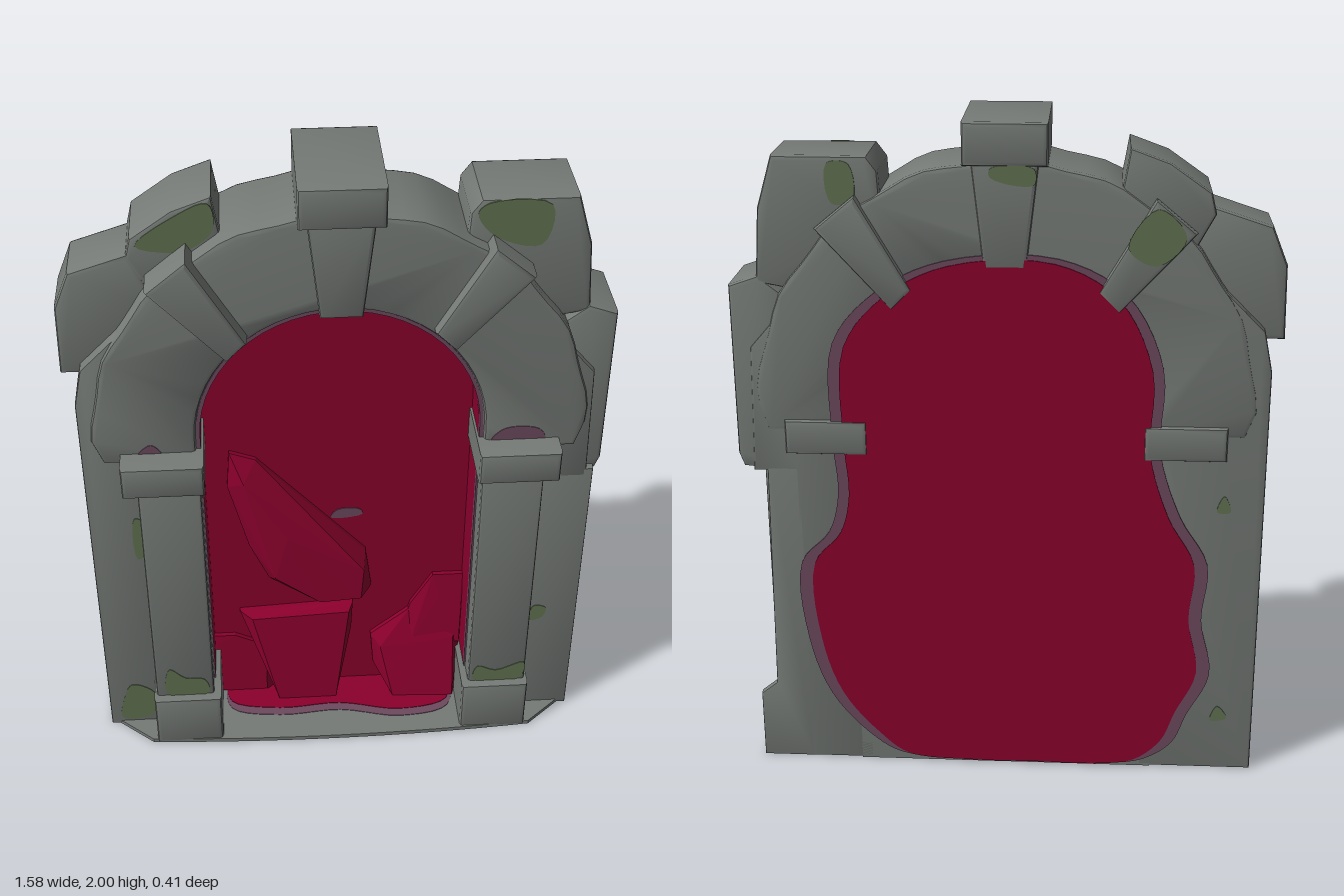
import * as THREE from 'three';
import { toCreasedNormals } from 'three/addons/utils/BufferGeometryUtils.js';
import { ConvexGeometry } from 'three/addons/geometries/ConvexGeometry.js';

const mat = (name, color) => {
  const m = new THREE.MeshStandardMaterial({ color, side: THREE.DoubleSide });
  m.name = name;
  return m;
};

export function createModel() {
  const stoneMat = mat('grey stone', 0x757a76);
  const redMat = mat('crimson', 0x8b002d);
  const mossMat = mat('moss green', 0x627352);
  const mauveMat = mat('faded mauve', 0x6e4a5e);
  const group = new THREE.Group();

  const add = (name, geometry, material) => {
    const mesh = new THREE.Mesh(geometry, material);
    mesh.name = name;
    group.add(mesh);
    return mesh;
  };
  // outline extruded from z0 to z1 with softly worn edges
  const slab = (name, pts, z0, z1, b = 0.012, material = stoneMat) => {
    const shape = new THREE.Shape(pts.map(([x, y]) => new THREE.Vector2(x, y)));
    const geo = new THREE.ExtrudeGeometry(shape, {
      depth: z1 - z0 - 2 * b, bevelEnabled: b > 0, bevelThickness: b, bevelSize: b,
      bevelOffset: -b, bevelSegments: 2,
    });
    geo.translate(0, 0, z0 + b);
    return add(name, toCreasedNormals(geo, 0.6), material);
  };
  const rect = (x0, x1, y0, y1) => [[x0, y0], [x1, y0], [x1, y1], [x0, y1]];
  const mirror = (pts, s) => (s > 0 ? pts : pts.map(([x, y]) => [-x, y]).reverse());
  const arc = (r, a0, a1, n = 28) => Array.from({ length: n + 1 }, (_, i) => {
    const a = a0 + ((a1 - a0) * i) / n;
    return [r * Math.cos(a), 1.18 + r * Math.sin(a)];
  });
  // thin irregular patch, rounded through a closed curve
  const patch = (name, pts, z, material, thick = 0.004) => {
    const curve = new THREE.CatmullRomCurve3(pts.map(([x, y]) => new THREE.Vector3(x, y, 0)), true);
    const outline = curve.getPoints(pts.length * 5).slice(0, -1).map((p) => [p.x, p.y]);
    return slab(name, outline, z, z + thick, 0, material);
  };

  // main wall with the doorway cut out, closed low down at the back
  slab('wall', [[-0.76, 0], [-0.41, 0], ...arc(0.415, Math.PI, 0), [0.41, 0], [0.62, 0],
    [0.62, 0.97], [0.74, 0.97], [0.73, 1.35], [0.6, 1.5], [0.45, 1.68], [-0.45, 1.68],
    [-0.6, 1.55], [-0.73, 1.42], [-0.755, 1.3]], -0.18, 0.09, 0.008);
  slab('backPlate', rect(-0.45, 0.45, 0, 1), -0.18, -0.165, 0);

  // hollow channel on the left flank
  slab('flankFront', rect(0.6, 0.76, 0, 1), 0.06, 0.09, 0.006);
  slab('flankBack', [[0.6, 0], [0.76, 0], [0.76, 0.22], [0.71, 0.26], [0.7, 1], [0.6, 1]], -0.18, -0.15, 0.006);
  slab('flankFloor', rect(0.6, 0.755, 0, 0.012), -0.17, 0.07, 0);

  // arch ring, slightly uneven on its outer edge
  const outer = arc(0.715, 0, Math.PI, 40).map(([x, y], i) => {
    const k = 1 + 0.008 * Math.sin(i * 1.3);
    return [x * k, 1.18 + (y - 1.18) * k];
  });
  slab('archRing', [[0.42, 1.1], [0.69, 1.1], ...outer, [-0.69, 1.1], [-0.42, 1.1],
    ...arc(0.42, Math.PI, 0)], -0.185, 0.105, 0.014);

  // keystone and its cap
  slab('keystone', [[-0.06, 1.59], [0.06, 1.59], [0.095, 1.9], [-0.095, 1.9]], -0.195, 0.135);
  slab('keystoneCap', rect(-0.118, 0.118, 1.88, 2), -0.205, 0.165, 0.014);

  // broken blocks around the arch
  slab('shoulderRight', [[-0.79, 1.385], [-0.6, 1.385], [-0.5, 1.6], [-0.57, 1.765], [-0.74, 1.71],
    [-0.785, 1.6]], -0.14, 0.05, 0.015);
  slab('topBlockRight', [[-0.58, 1.75], [-0.5, 1.6], [-0.3, 1.7], [-0.33, 1.87], [-0.34, 1.93],
    [-0.45, 1.89], [-0.565, 1.81]], -0.175, 0.05, 0.012);
  slab('topBlockLeft', [[0.34, 1.7], [0.5, 1.5], [0.705, 1.54], [0.69, 1.75], [0.645, 1.9],
    [0.38, 1.9], [0.35, 1.86]], -0.175, 0.06, 0.014);
  slab('sideBlockLeft', [[0.62, 0.965], [0.77, 0.98], [0.785, 1.02], [0.785, 1.53], [0.7, 1.56],
    [0.62, 1.5]], -0.175, 0.065, 0.014);

  for (const s of [1, -1]) {
    const side = s > 0 ? 'Left' : 'Right';
    // projecting arch wedge
    slab('archWedge' + side, mirror([[0.26, 1.53], [0.32, 1.47], [0.53, 1.7], [0.415, 1.795]], s),
      -0.2, s > 0 ? 0.14 : 0.155, 0.014);
    // pilaster: base, shaft, capital
    slab('pilasterBase' + side, mirror(rect(0.39, 0.605, 0.005, 0.195), s), -0.08, 0.19, 0.015);
    slab('pilasterShaft' + side, mirror(rect(0.412, 0.597, 0.18, 1.05), s), -0.05, 0.16, 0.01);
    slab('capital' + side, mirror(rect(0.4, 0.64, 1.03, 1.135), s), -0.2, 0.187, 0.014);
  }

  // threshold with a bowed front edge
  const bow = new THREE.QuadraticBezierCurve(new THREE.Vector2(-0.62, -0.18),
    new THREE.Vector2(0, -0.225), new THREE.Vector2(0.62, -0.18));
  const threshold = slab('threshold', [[-0.74, 0.17], [-0.74, -0.08],
    ...bow.getPoints(16).map((p) => [p.x, p.y]), [0.74, -0.08], [0.74, 0.17]], 0, 0.014, 0);
  threshold.geometry.rotateX(-Math.PI / 2);

  // crimson infill panel, creeping forward over the doorway reveal to a faded edge
  slab('panel', [[-0.415, 0.004], [0.415, 0.004], ...arc(0.415, 0, Math.PI)], -0.17, -0.06, 0, redMat);
  const reveal = [[-0.418, 0.014], [-0.407, 0.014], ...arc(0.407, Math.PI, 0), [0.407, 0.014],
    [0.418, 0.014], ...arc(0.418, 0, Math.PI)];
  slab('revealLining', reveal, -0.07, 0.07, 0, redMat);
  slab('revealEdge', reveal, 0.07, 0.09, 0, mauveMat);

  // spread of crimson over the back, with a faded rim
  const spread = [[0.46, 1.36], [0.34, 1.51], [0.16, 1.6], [-0.14, 1.61], [-0.32, 1.51], [-0.42, 1.3],
    [-0.42, 1.05], [-0.48, 0.85], [-0.56, 0.7], [-0.55, 0.52], [-0.58, 0.34], [-0.52, 0.2], [-0.48, 0.1],
    [-0.4, 0.03], [-0.3, 0.012], [-0.1, 0.012], [0.1, 0.012], [0.3, 0.03], [0.39, 0.1], [0.5, 0.24],
    [0.56, 0.43], [0.57, 0.68], [0.49, 0.78], [0.46, 0.9], [0.47, 1.08]];
  patch('backSpread', spread, -0.194, redMat, 0.006);
  patch('backSpreadRim', spread.map(([x, y]) => [x * 1.07, y > 0.05 ? 0.7 + (y - 0.7) * 1.015 : y]),
    -0.19, mauveMat, 0.006);

  // faceted rocks standing out of the panel: [name, outline, ridge points]
  const rocks = [
    ['largeRock', [[-0.33, 1.01], [-0.25, 0.98], [-0.12, 0.8], [0.09, 0.6], [0.11, 0.45], [0.08, 0.4],
      [-0.07, 0.42], [-0.22, 0.5], [-0.28, 0.64], [-0.34, 0.88]],
    [[-0.29, 0.92, 0], [-0.16, 0.72, 0.03], [-0.2, 0.55, 0.02], [0.07, 0.47, 0.04], [-0.06, 0.46, 0.04], [0.08, 0.57, 0.02]]],
    ['lowerRock', [[-0.32, 0.36], [0.05, 0.38], [0.045, 0.27], [0, 0.01], [-0.21, 0.01], [-0.24, 0.2]],
      [[-0.28, 0.35, -0.01], [0.035, 0.365, -0.01], [-0.01, 0.02, 0.03], [-0.2, 0.02, 0.03]]],
    ['cornerRockUpper', [[0.31, 0.48], [0.24, 0.36], [0.2, 0.2], [0.41, 0.2], [0.41, 0.48]],
      [[0.33, 0.4, -0.03], [0.24, 0.22, -0.01], [0.4, 0.4, -0.03], [0.4, 0.22, 0]]],
    ['cornerRockLower', [[0.24, 0.34], [0.11, 0.23], [0.12, 0.1], [0.16, 0.01], [0.41, 0.01], [0.41, 0.3]],
      [[0.14, 0.2, -0.01], [0.18, 0.02, 0.04], [0.38, 0.02, 0.05], [0.38, 0.24, 0]]],
    ['edgeRock', [[-0.41, 0.25], [-0.34, 0.25], [-0.24, 0.2], [-0.21, 0.01], [-0.41, 0.01]],
      [[-0.4, 0.22, -0.04], [-0.26, 0.17, -0.04], [-0.24, 0.02, -0.02], [-0.4, 0.02, -0.02]]],
  ];
  for (const [name, rim, ridge] of rocks) {
    const pts = [...rim.flatMap(([x, y]) => [new THREE.Vector3(x, y, -0.07), new THREE.Vector3(x, y, -0.045)]),
      ...ridge.map((p) => new THREE.Vector3(...p))];
    add(name, new ConvexGeometry(pts), redMat);
  }

  // moss patches on the front and back faces
  const moss = [
    [[[-0.72, 0.03], [-0.62, 0.04], [-0.61, 0.14], [-0.68, 0.18], [-0.71, 0.12]], 0.088],
    [[[-0.56, 0.2], [-0.43, 0.2], [-0.44, 0.26], [-0.5, 0.27], [-0.55, 0.31]], 0.158],
    [[[0.43, 0.2], [0.58, 0.2], [0.59, 0.27], [0.5, 0.24], [0.44, 0.26]], 0.158],
    [[[0.61, 0.39], [0.65, 0.4], [0.66, 0.44], [0.62, 0.45]], 0.088],
    [[[-0.62, 0.72], [-0.595, 0.74], [-0.595, 0.87], [-0.62, 0.88]], 0.088],
    [[[0.37, 1.86], [0.42, 1.79], [0.55, 1.76], [0.57, 1.88], [0.4, 1.89]], 0.058],
    [[[-0.55, 1.79], [-0.42, 1.77], [-0.34, 1.83], [-0.35, 1.91], [-0.45, 1.87]], 0.048],
    [[[-0.5, 1.69], [-0.42, 1.77], [-0.34, 1.66], [-0.42, 1.61]], -0.203],
    [[[0.42, 1.78], [0.48, 1.77], [0.49, 1.88], [0.43, 1.88]], -0.178],
    [[[-0.08, 1.83], [0.04, 1.85], [0.04, 1.875], [-0.08, 1.875]], -0.198],
    [[[-0.66, 0.87], [-0.62, 0.87], [-0.64, 0.92]], -0.183],
    [[[-0.68, 0.18], [-0.63, 0.17], [-0.65, 0.22]], -0.183],
  ];
  moss.forEach(([pts, z]) => patch('moss', pts, z, mossMat));

  // faded stains above the capitals and on the panel
  patch('stain', [[0.44, 1.13], [0.6, 1.13], [0.58, 1.17], [0.48, 1.175]], 0.103, mauveMat);
  patch('stain', [[-0.59, 1.13], [-0.52, 1.13], [-0.55, 1.165]], 0.103, mauveMat);
  patch('stain', [[-0.02, 0.73], [0.08, 0.74], [0.07, 0.76], [0, 0.76]], -0.061, mauveMat);

  // crimson spill on the threshold with a faded fringe
  const spill = [[-0.36, -0.03], [-0.2, -0.07], [0, -0.06], [0.2, -0.1], [0.36, -0.06], [0.36, 0.06], [-0.36, 0.06]];
  const fringe = patch('spillFringe', spill.map(([x, y]) => [x, y < 0 ? y - 0.03 : y]), 0.012, mauveMat);
  const spillCore = patch('spill', spill, 0.014, redMat);
  [fringe, spillCore].forEach((m) => m.geometry.rotateX(-Math.PI / 2));

  return group;
}
